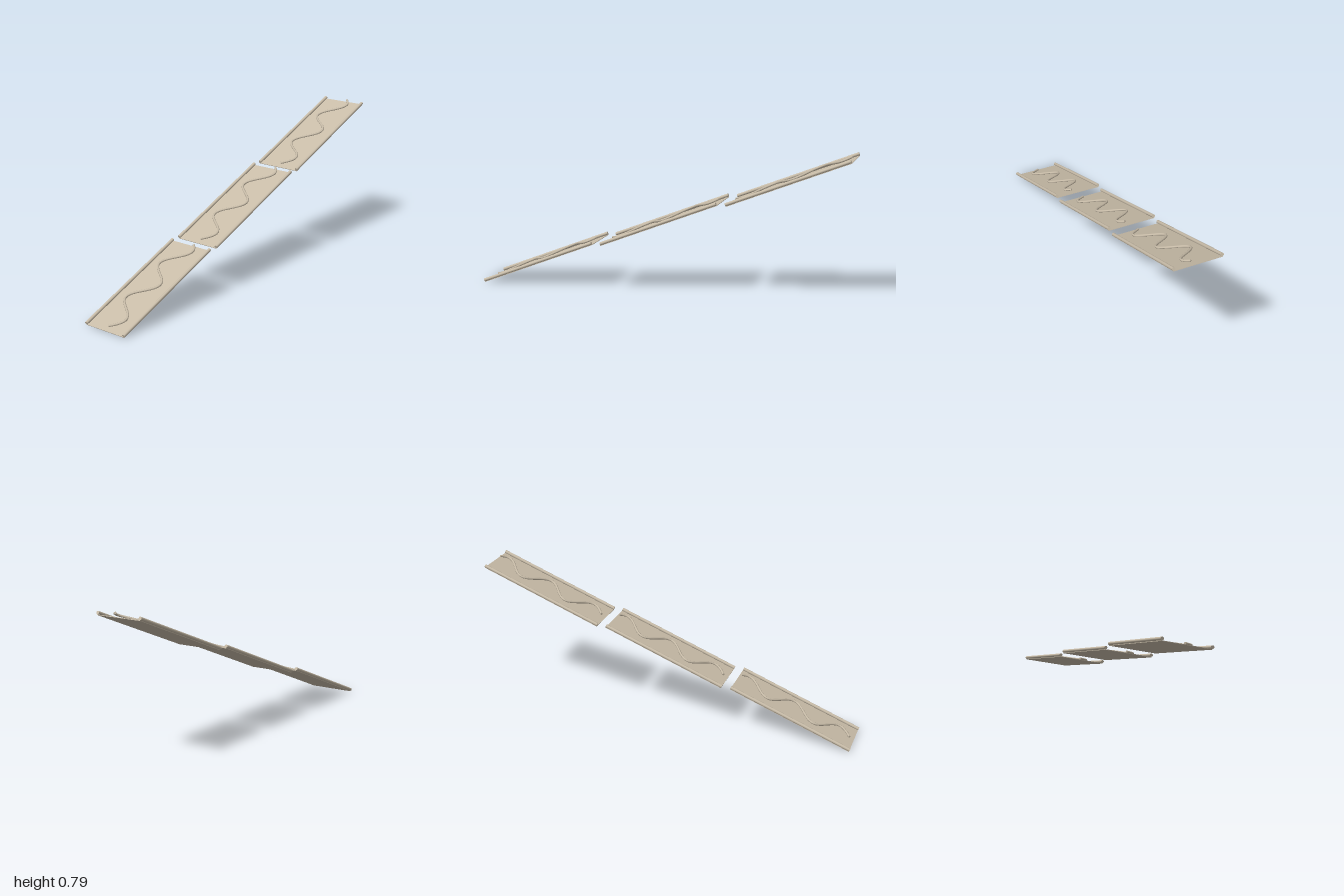
import * as THREE from 'three';

const LENGTH = 0.682, HALF_WIDTH = 0.125, SHEET = 0.003;
const RAIL_R = 0.0085, COIL_R = 0.006, TILT = 0.384;

// Wavy path that lifts gently off the sheet towards the upper end
function wavePath() {
  const points = [];
  for (let i = 0; i <= 40; i++) {
    const t = i / 40;
    points.push(new THREE.Vector3(0.057 * Math.sin(15.15 * t), 0.008 + 0.0115 * t, 0.313 - 0.644 * t));
  }
  return new THREE.CatmullRomCurve3(points);
}

export function createModel() {
  const model = new THREE.Group();
  model.name = 'steppedRamp';
  const tan = new THREE.MeshStandardMaterial({ color: 0xc8bca8 });
  tan.name = 'warm stone';

  const path = wavePath();
  const sheetGeo = new THREE.BoxGeometry(HALF_WIDTH * 2, SHEET, LENGTH);
  const railGeo = new THREE.CylinderGeometry(RAIL_R, RAIL_R, LENGTH, 12).rotateX(Math.PI / 2);
  const waveGeo = new THREE.TubeGeometry(path, 120, COIL_R, 8, false);
  const capGeo = new THREE.CircleGeometry(COIL_R, 8);

  function add(parent, name, geometry, x = 0, y = 0, z = 0) {
    const mesh = new THREE.Mesh(geometry, tan);
    mesh.name = name;
    mesh.position.set(x, y, z);
    parent.add(mesh);
    return mesh;
  }

  // Three identical tilted sections, climbing towards the back
  for (let i = 0; i < 3; i++) {
    const section = new THREE.Group();
    section.name = 'rampSection' + (i + 1);
    section.position.set(0, 0.13 + 0.255 * i, 0.682 * (1 - i));
    section.rotation.x = TILT;
    model.add(section);

    add(section, 'sheet', sheetGeo, 0, -SHEET / 2);
    add(section, 'leftRail', railGeo, 0.1235, RAIL_R);
    add(section, 'rightRail', railGeo, -0.1235, RAIL_R);
    add(section, 'wavyRod', waveGeo);

    // Flat ends of the wavy rod
    for (const t of [0, 1]) {
      const p = path.getPointAt(t);
      const outward = path.getTangentAt(t).multiplyScalar(t ? 1 : -1);
      const cap = add(section, t ? 'rodUpperEnd' : 'rodLowerEnd', capGeo, p.x, p.y, p.z);
      cap.quaternion.setFromUnitVectors(new THREE.Vector3(0, 0, 1), outward);
    }
  }
  return model;
}
